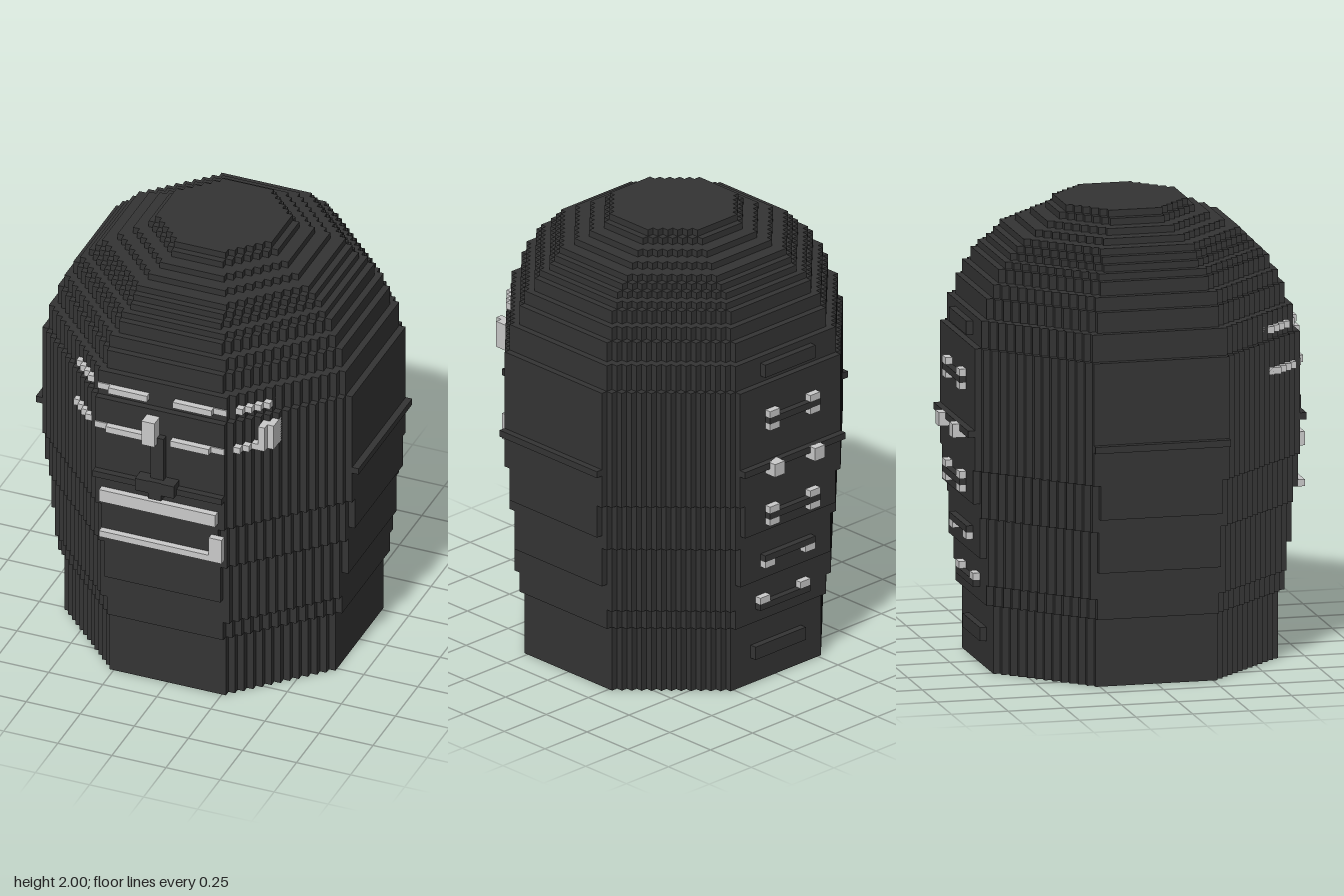
import * as THREE from 'three';

const V = 2 / 67; // one voxel

export function createModel() {
  const group = new THREE.Group();
  const dark = new THREE.MeshStandardMaterial({ color: 0x343434 });
  dark.name = 'charcoal';
  const light = new THREE.MeshStandardMaterial({ color: 0xcacaca });
  light.name = 'paleGrey';

  // Box between two corners given in voxels
  function box(name, mat, x0, x1, y0, y1, z0, z1) {
    const geo = new THREE.BoxGeometry((x1 - x0) * V, (y1 - y0) * V, (z1 - z0) * V);
    const mesh = new THREE.Mesh(geo, mat);
    mesh.position.set((x0 + x1) / 2 * V, (y0 + y1) / 2 * V, (z0 + z1) / 2 * V);
    mesh.name = name;
    group.add(mesh);
  }

  // Octagonal slab with stepped diagonals: r = half width, s = r + half length of a flat face
  function slab(r, s, y0, y1) {
    const corner = [];
    for (let z = s - r; z <= r; z++) {
      corner.push([s - z, z]);
      if (z < r) corner.push([s - z - 1, z]);
    }
    const pts = [];
    for (let q = 0; q < 4; q++) {
      for (const [x, z] of corner) {
        const p = new THREE.Vector2(x * V, z * V);
        p.rotateAround(new THREE.Vector2(), q * Math.PI / 2);
        pts.push(p);
      }
    }
    const geo = new THREE.ExtrudeGeometry(new THREE.Shape(pts), { depth: (y1 - y0) * V, bevelEnabled: false });
    geo.rotateX(-Math.PI / 2);
    geo.translate(0, y0 * V, 0);
    const mesh = new THREE.Mesh(geo, dark);
    mesh.name = 'headLayer';
    group.add(mesh);
  }

  // Head: [top of layer, half width, diagonal sum]
  const layers = [
    [10, 21, 30], [13, 22, 31], [17, 22, 32], [23, 23, 32], [25, 23, 33], [30, 24, 33], [48, 24, 34],
    [52, 23, 33], [55, 22, 31], [57, 21, 30], [59, 20, 28], [60, 19, 27], [61, 18, 25],
    [62, 17, 24], [63, 16, 23], [64, 14, 20], [65, 12, 17], [66, 10, 14], [67, 9, 13],
  ];
  let y = 0;
  for (const [top, r, s] of layers) {
    slab(r, s, y, top);
    y = top;
  }

  // Thin ridge on the four flat faces
  for (const d of [-1, 1]) {
    box('ridge', dark, -10, 10, 35, 36, d * 24.5 - 0.5, d * 24.5 + 0.5);
    box('ridge', dark, d * 24.5 - 0.5, d * 24.5 + 0.5, 35, 36, -10, 10);
  }

  // Eye outlines, wrapping on to the diagonal faces
  for (const d of [-1, 1]) {
    for (const [y0, r, s] of [[49, 23, 33], [43, 24, 34]]) {
      const span = (a, b) => (d > 0 ? [a, b] : [-b, -a]);
      box('eyeLine', light, ...span(2, 8), y0, y0 + 1, r, r + 1);
      box('eyeLineFlush', light, ...span(8, 10), y0, y0 + 1, r, r + 0.2);
      for (let i = 11; i < 15; i++) {
        box('eyeLineCorner', light, ...span(i, i + 1), y0, y0 + 1, s - 2 - i, s - i);
      }
    }
  }
  box('innerEyeBlock', light, -2, 0, 43, 47, 24, 26);
  box('outerEyeBlock', light, 14, 15, 43, 47, 17, 21);
  box('outerEyeBlock', light, 15, 16, 43, 47, 17, 20);

  // Nose
  box('noseBridge', dark, -1, 1, 34, 44, 24, 25);
  box('nostrils', dark, -3, -1, 35, 37, 24, 26);
  box('nostrils', dark, 1, 3, 35, 37, 24, 26);
  box('noseTip', dark, -1, 1, 34, 37, 24, 25.9);

  // Mouth and chin line
  box('mouth', light, -9, 9, 31, 33, 24, 25);
  box('chinLine', light, -9, 8, 25, 26, 24, 25);
  box('chinBlock', light, 8, 10, 25, 29, 24, 25);

  // Back bars: [y, height, surface]
  for (const [y0, h, r] of [[49, 2, 23], [42, 1, 24], [27, 1, 24], [20, 1, 23], [12, 1, 22], [4, 2, 21]]) {
    box('backBar', dark, -5, 5, y0, y0 + h, -r - 1, -r);
  }

  // Back studs in pairs: [y, height, surface, depth]
  const studs = [[43, 1, 24, 1], [41, 1, 24, 1], [34, 2, 24, 2], [28, 1, 24, 1], [26, 1, 24, 1], [19, 1, 23, 1], [13, 1, 22, 1]];
  for (const [y0, h, r, depth] of studs) {
    for (const x of [-4, 4]) box('backStud', light, x - 1, x + 1, y0, y0 + h, -r - depth, -r);
  }

  return group;
}
